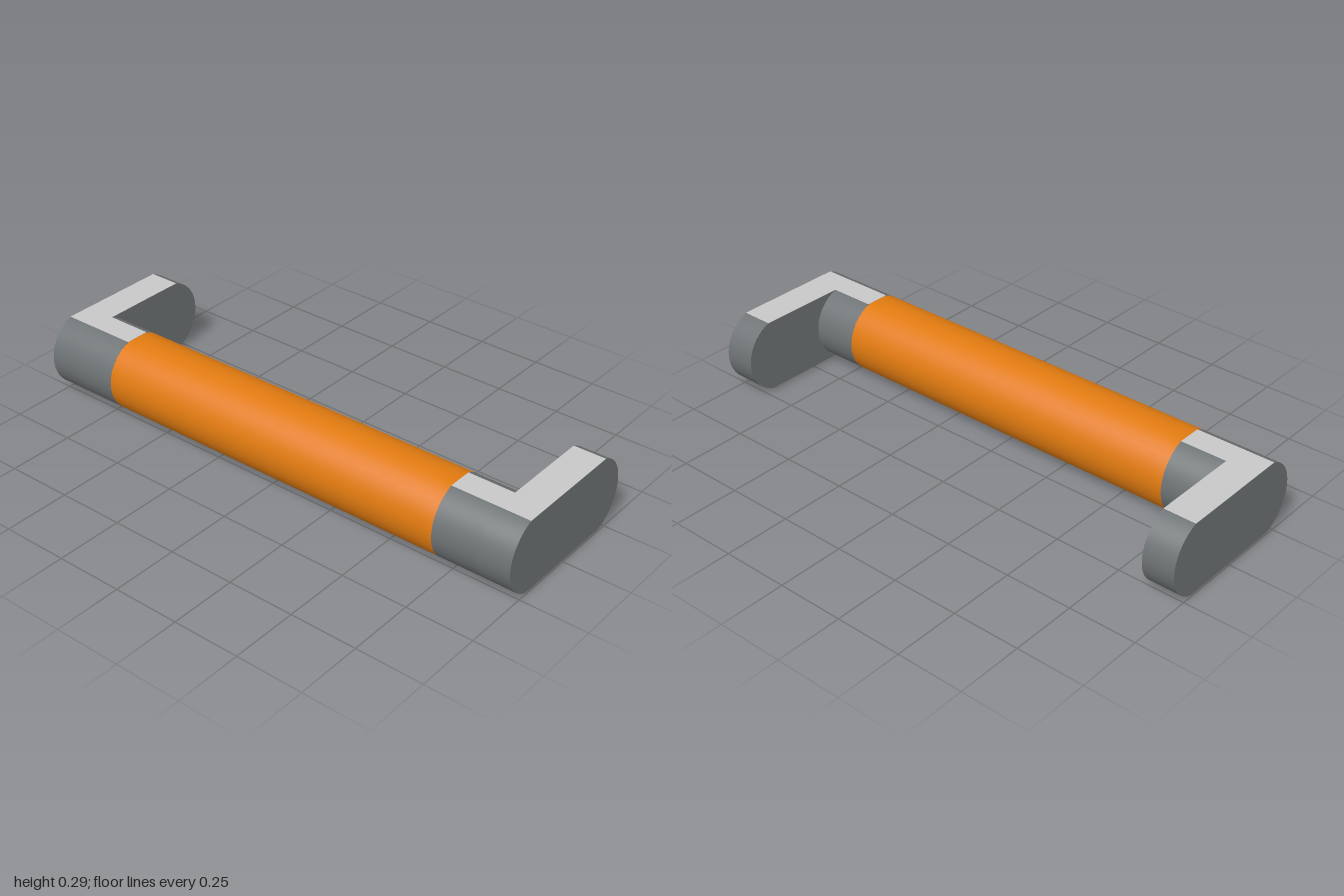
import * as THREE from 'three';
import { toCreasedNormals } from 'three/addons/utils/BufferGeometryUtils.js';

const R = 0.145;      // bar radius
const HALF = 0.1375;  // half height between the flats
const CY = 0.1475;    // bar axis height
const CZ = 0.17;      // bar axis depth
const GRIP = 0.705;   // half length of the grip
const ARM = 0.88;     // inner face of each arm

// Outline of a round bar with flattened top and bottom, stretched between two depths
function flattenedOutline(zFront, zBack) {
  const a = Math.asin(HALF / R);
  const shape = new THREE.Shape();
  shape.absarc(-zBack, CY, R, -a, a, false);
  shape.absarc(-zFront, CY, R, Math.PI - a, Math.PI + a, false);
  shape.closePath();
  return shape;
}

// Extrude an outline along x from x0 to x1
function alongX(shape, x0, x1) {
  const geo = new THREE.ExtrudeGeometry(shape, { depth: x1 - x0, bevelEnabled: false, curveSegments: 16 });
  geo.rotateY(Math.PI / 2).translate(x0, 0, 0);
  return toCreasedNormals(geo, 0.4);
}

export function createModel() {
  const orange = new THREE.MeshStandardMaterial({ color: 0xe07a10 });
  orange.name = 'orange grip';
  const grey = new THREE.MeshStandardMaterial({ color: 0x6e7375 });
  grey.name = 'dark grey';
  const light = new THREE.MeshStandardMaterial({ color: 0xc8c8c8 });
  light.name = 'light grey';

  const model = new THREE.Group();
  model.name = 'handle';
  const add = (parent, name, geo, mat) => {
    const mesh = new THREE.Mesh(geo, mat);
    mesh.name = name;
    parent.add(mesh);
  };

  // Grip: a round bar whose ends ease into the flattened section
  const grip = new THREE.CylinderGeometry(R, R, GRIP * 2, 36, 28);
  grip.rotateY(Math.PI / 36).rotateZ(Math.PI / 2);
  const p = grip.attributes.position;
  for (let i = 0; i < p.count; i++) {
    if (Math.abs(p.getX(i)) > GRIP - 0.01) {
      p.setY(i, THREE.MathUtils.clamp(p.getY(i), -HALF, HALF));
    }
  }
  grip.translate(0, CY, CZ);
  add(model, 'grip', toCreasedNormals(grip, 0.5), orange);

  for (const side of [1, -1]) {
    const end = new THREE.Group();
    end.name = side > 0 ? 'leftEnd' : 'rightEnd';
    model.add(end);
    const span = (a, b) => (side > 0 ? [a, b] : [-b, -a]);

    // Collar between grip and arm, and the arm reaching back
    add(end, 'collar', alongX(flattenedOutline(CZ, CZ), ...span(GRIP, ARM)), grey);
    add(end, 'arm', alongX(flattenedOutline(CZ, -CZ), ...span(ARM, 1)), grey);

    // Pale L-shaped flat on top of collar and arm
    const flat = Math.sqrt(R * R - HALF * HALF);
    const points = [
      [GRIP, CZ + flat], [1, CZ + flat], [1, -CZ - flat],
      [ARM, -CZ - flat], [ARM, CZ - flat], [GRIP, CZ - flat],
    ].map(([x, z]) => new THREE.Vector2(side * x, -z));
    const top = new THREE.ExtrudeGeometry(new THREE.Shape(points), { depth: 0.002, bevelEnabled: false });
    top.rotateX(-Math.PI / 2).translate(0, CY + HALF - 0.001, 0);
    add(end, 'topFlat', top, light);
  }
  return model;
}
